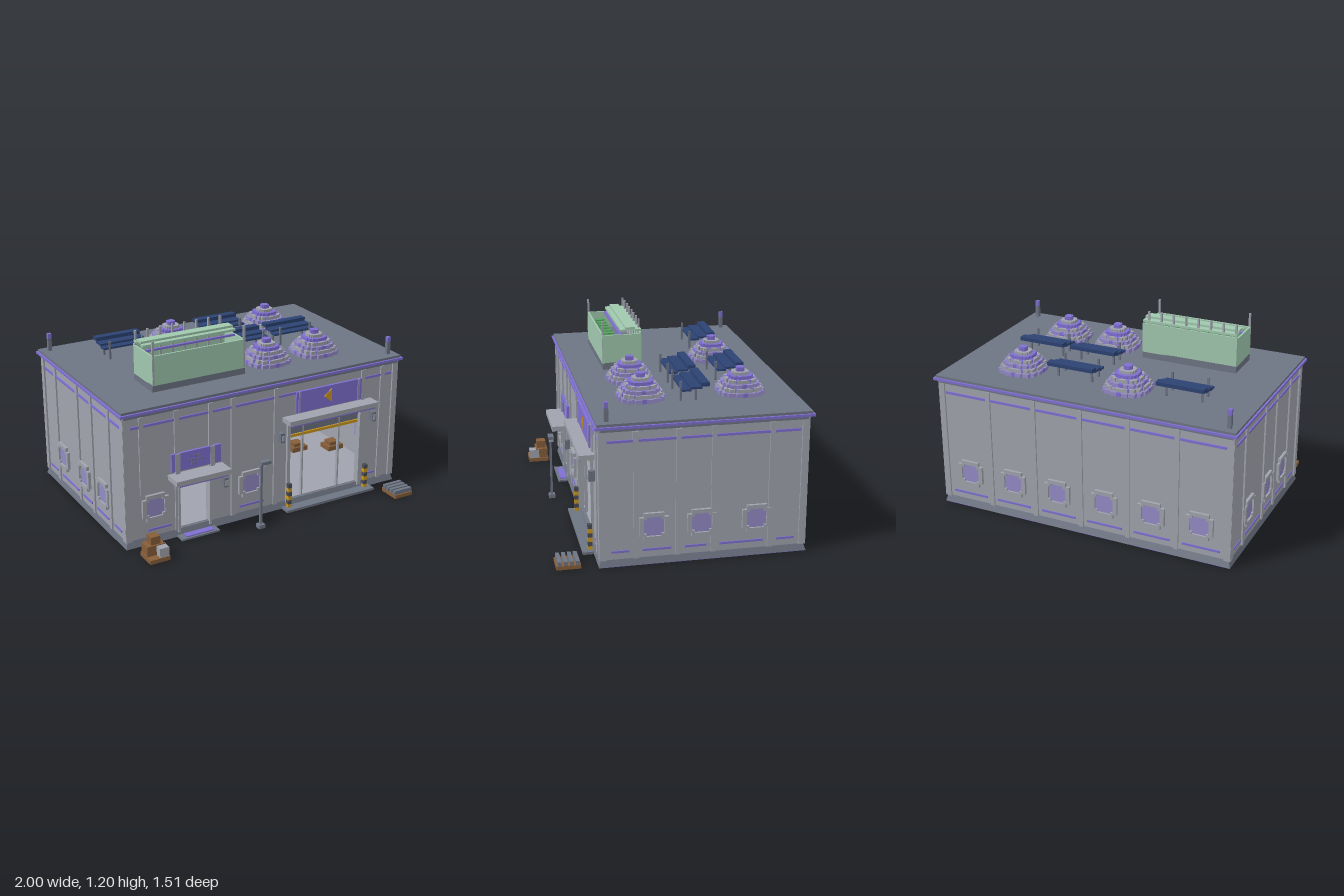
import * as THREE from 'three';

const mat = (name, color) => Object.assign(new THREE.MeshStandardMaterial({ color }), { name });
const M = {
  wall: mat('wall grey', 0xa0a3ad), dark: mat('slate grey', 0x6d7483), purple: mat('purple', 0x7f6fd2),
  lilac: mat('window lilac', 0x938bc6), mint: mat('mint glass', 0xa0c8ae), navy: mat('solar navy', 0x2c4272),
  gold: mat('gold', 0xcb9820), brown: mat('crate brown', 0x865e38), leaf: mat('leaf green', 0x55a35e),
  black: mat('dark band', 0x4a4d56),
};

export function createModel() {
  const root = new THREE.Group();
  const group = (name, parent = root) => {
    const g = new THREE.Group();
    g.name = name;
    parent.add(g);
    return g;
  };
  const add = (p, name, geo, m) => {
    const mesh = new THREE.Mesh(geo, m);
    mesh.name = name;
    p.add(mesh);
    return mesh;
  };
  // box given by its min and max on each axis
  const box = (p, name, m, x0, x1, y0, y1, z0, z1) => {
    const b = add(p, name, new THREE.BoxGeometry(x1 - x0, y1 - y0, z1 - z0), m);
    b.position.set((x0 + x1) / 2, (y0 + y1) / 2, (z0 + z1) / 2);
    return b;
  };
  const path = (pts, T) => new T(pts.map(([x, y]) => new THREE.Vector2(x, y)));
  const rectPath = (x0, x1, y0, y1, T = THREE.Path) => path([[x0, y0], [x1, y0], [x1, y1], [x0, y1]], T);
  // closed outline mirrored from the corner points of one quadrant
  const mirrored = (q, T = THREE.Shape) => {
    const r = [...q].reverse();
    return path([...q, ...r.map(([x, y]) => [-x, y]), ...q.map(([x, y]) => [-x, -y]), ...r.map(([x, y]) => [x, -y])], T);
  };
  const stepped = (w, h, s, T) => mirrored([[w, h - s], [w - s, h - s], [w - s, h]], T);
  const slab = (shape, depth) => new THREE.ExtrudeGeometry(shape, { depth, bevelEnabled: false });
  const frameShape = stepped(0.087, 0.085, 0.026);
  frameShape.holes.push(stepped(0.06, 0.06, 0.016, THREE.Path));
  const frameGeo = slab(frameShape, 0.018);
  const paneGeo = slab(stepped(0.06, 0.06, 0.016), 0.006);

  // sloped plinth, floor and underside
  const plinthGeo = new THREE.BoxGeometry(1.96, 0.046, 1.25);
  const pp = plinthGeo.attributes.position;
  for (let i = 0; i < pp.count; i++) {
    if (pp.getY(i) > 0) pp.setXYZ(i, pp.getX(i) * 0.985, pp.getY(i), pp.getZ(i) * 0.975);
  }
  plinthGeo.computeVertexNormals();
  add(root, 'plinth', plinthGeo, M.dark).position.set(0, 0.027, -0.115);
  box(root, 'underside', M.wall, -0.955, 0.955, 0.002, 0.006, -0.715, 0.485);
  box(root, 'undersideEdge', M.purple, 0.945, 0.978, 0.001, 0.005, -0.738, 0.508);
  box(root, 'undersideEdge', M.purple, -0.978, 0.945, 0.001, 0.005, -0.738, -0.72);
  box(root, 'floor', M.wall, -0.95, 0.95, 0.047, 0.053, -0.71, 0.48);

  // one outer wall, its face at local z = 0
  function wall(name, half, x, z, turn, pillars, windows, upper, lower, holes) {
    const g = group(name);
    g.position.set(x, 0, z);
    g.rotation.y = turn;
    const s = rectPath(-half, half, 0.045, 0.86, THREE.Shape);
    holes.forEach(h => s.holes.push(rectPath(...h)));
    add(g, 'wallPanel', slab(s, 0.03), M.wall).position.z = -0.03;
    for (const [u, y0] of pillars) box(g, 'pillar', M.wall, u - 0.015, u + 0.015, y0, 0.83, 0, 0.01);
    for (const e of [-1, 1]) {
      const c = e * (half - 0.012);
      box(g, 'cornerPillar', M.wall, c - 0.02, c + 0.02, 0.045, 0.85, 0, 0.011);
    }
    box(g, 'topRail', M.dark, -half, half, 0.835, 0.85, 0, 0.013);
    for (const [a, b] of upper) box(g, 'upperStripe', M.purple, a, b, 0.765, 0.78, 0, 0.008);
    for (const [a, b] of lower) box(g, 'lowerStripe', M.purple, a, b, 0.086, 0.099, 0, 0.006);
    for (const u of windows) {
      add(g, 'windowFrame', frameGeo, M.wall).position.set(u, 0.24, 0);
      add(g, 'windowPane', paneGeo, M.lilac).position.set(u, 0.24, 0);
      add(g, 'innerPane', paneGeo, M.lilac).position.set(u, 0.24, -0.034);
    }
  }
  const bays = n => n.map(u => [u, 0.045]);
  // a dash inside each bay between neighbouring pillars
  const dashes = (half, n) => {
    const e = [-half, ...[...n].sort((a, b) => a - b), half];
    return e.slice(1).map((b, i) => [e[i] + 0.04, b - 0.04]);
  };
  wall('frontWall', 0.97, 0, 0.495, 0,
    [[-0.63, 0.045], [-0.4, 0.42], [-0.245, 0.045], [0.06, 0.045], [0.71, 0.62], [0.86, 0.045], [-0.86, 0.33]],
    [-0.78, -0.12], [[-0.93, 0.2], [0.7, 0.93]], [[-0.83, -0.67], [-0.2, -0.02], [0.76, 0.83]],
    [[-0.615, -0.415, 0.05, 0.36], [0.16, 0.7, 0.05, 0.56]]);
  const backBays = [-0.63, -0.315, 0, 0.315, 0.63], sideBays = [-0.405, -0.155, 0.055, 0.4];
  wall('backWall', 0.97, 0, -0.725, Math.PI, bays(backBays),
    [-0.78, -0.47, -0.16, 0.16, 0.47, 0.78], [[-0.93, 0.93]], dashes(0.95, backBays), []);
  wall('leftWall', 0.61, 0.968, -0.115, Math.PI / 2, bays(sideBays),
    [-0.3, -0.015, 0.315], [[-0.57, 0.57]], dashes(0.59, sideBays), []);
  const flipped = sideBays.map(u => -u);
  wall('rightWall', 0.61, -0.968, -0.115, -Math.PI / 2, bays(flipped),
    [0.3, 0.015, -0.315], [[-0.57, 0.57]], dashes(0.59, flipped), []);

  // roof slab with trim and corner masts
  const roof = group('roof');
  box(roof, 'roofTrim', M.purple, -1, 1, 0.855, 0.87, -0.76, 0.525);
  box(roof, 'roofSlab', M.dark, -0.988, 0.988, 0.85, 0.885, -0.748, 0.513);
  for (const [x, z] of [[-0.93, -0.69], [0.93, 0.45]]) {
    box(roof, 'mast', M.dark, x - 0.012, x + 0.012, 0.885, 0.965, z - 0.012, z + 0.012);
    box(roof, 'mastLight', M.purple, x - 0.012, x + 0.012, 0.965, 1, z - 0.012, z + 0.012);
  }

  // round stepped skylight domes with purple studs
  const tiers = [[0.14, 0.025, 'lilac'], [0.127, 0.022, 'wall'], [0.112, 0.022, 'lilac'], [0.094, 0.022, 'wall'],
    [0.073, 0.02, 'purple'], [0.05, 0.018, 'wall'], [0.026, 0.025, 'purple']];
  for (const [x, z] of [[-0.18, -0.43], [0.54, -0.43], [0.18, 0.18], [0.54, 0.18]]) {
    const d = group('dome');
    d.position.set(x, 0.885, z);
    let y = 0;
    tiers.forEach(([r, h, m], i) => {
      const a = r * 0.4, b = r * 0.72, c = r * 0.9;
      const t = add(d, 'domeTier', slab(mirrored([[r, a], [c, a], [c, b], [b, b], [b, c], [a, c], [a, r]]), h), M[m]);
      t.rotation.x = -Math.PI / 2;
      t.position.y = y;
      for (let k = 0; i < 4 && k < 8; k++) {
        const angle = (k + (i % 2) / 2) * Math.PI / 4;
        const stud = add(d, 'domeStud', new THREE.BoxGeometry(0.026, h, 0.026), M.purple);
        stud.position.set(Math.cos(angle) * (r - 0.012), y + h / 2 + 0.001, Math.sin(angle) * (r - 0.012));
      }
      y += h;
    });
  }

  // solar panels in three rising slats
  for (const [x, z] of [[-0.7, -0.345], [0.023, -0.345], [0.023, -0.042], [0.383, -0.042]]) {
    const s = group('solarPanel');
    s.position.set(x, 0, z);
    box(s, 'lowSlat', M.navy, 0, 0.308, 0.95, 0.962, -0.055, 0);
    box(s, 'midSlat', M.navy, 0, 0.308, 0.962, 0.975, -0.12, -0.05);
    box(s, 'highSlat', M.navy, 0, 0.308, 0.975, 0.998, -0.165, -0.115);
    for (const u of [0.04, 0.27]) {
      box(s, 'frontPost', M.dark, u - 0.006, u + 0.006, 0.885, 1.005, -0.004, 0.008);
      box(s, 'backPost', M.dark, u - 0.006, u + 0.006, 0.885, 0.965, -0.095, -0.083);
    }
  }

  // rooftop greenhouse
  const gh = group('greenhouse');
  box(gh, 'base', M.dark, -0.685, -0.05, 0.885, 0.93, 0.06, 0.31);
  box(gh, 'frontGlass', M.mint, -0.685, -0.05, 0.925, 1.11, 0.3, 0.311);
  box(gh, 'backGlass', M.mint, -0.685, -0.05, 0.925, 1.12, 0.06, 0.071);
  for (const x of [-0.685, -0.061]) box(gh, 'endGlass', M.mint, x, x + 0.011, 0.925, 1.11, 0.06, 0.31);
  box(gh, 'planterBed', M.dark, -0.674, -0.061, 0.93, 1.0, 0.07, 0.3);
  box(gh, 'growLight', M.purple, -0.674, -0.061, 1.1, 1.112, 0.185, 0.2);
  [[0.06, 0.1, 1.128], [0.1, 0.16, 1.142], [0.16, 0.192, 1.128]].forEach(([a, b, y]) =>
    box(gh, 'roofGlass', M.mint, -0.683, -0.052, y, y + 0.014, a, b));
  for (let i = 0; i < 8; i++) {
    const x = -0.675 + i * 0.0833, u = -0.645 + i * 0.0705;
    box(gh, 'backPost', M.wall, x - 0.006, x + 0.006, 0.93, 1.2, 0.064, 0.076);
    box(gh, 'plant', M.leaf, u, u + 0.042, 1.0, 1.07, 0.205, 0.265);
  }
  for (const x of [-0.677, -0.058]) box(gh, 'cornerPost', M.wall, x - 0.006, x + 0.006, 0.93, 1.2, 0.3, 0.312);

  // small entrance
  const e1 = group('smallEntrance');
  box(e1, 'canopy', M.wall, -0.69, -0.32, 0.393, 0.425, 0.49, 0.615);
  box(e1, 'canopyEdge', M.purple, -0.67, -0.34, 0.383, 0.393, 0.59, 0.61);
  box(e1, 'sign', M.purple, -0.67, -0.335, 0.44, 0.555, 0.49, 0.512);
  for (const x of [-0.63, -0.395]) box(e1, 'signBracket', M.wall, x - 0.015, x + 0.015, 0.425, 0.555, 0.49, 0.517);
  for (const [i, j] of [[0, 0], [1, 0], [-1, 0], [2, 0], [-2, 0], [0, 1], [0, -1], [1, 1], [-1, -1]]) {
    box(e1, 'signDot', M.dark, -0.516 + i * 0.022, -0.504 + i * 0.022, 0.489 + j * 0.024, 0.501 + j * 0.024, 0.51, 0.516);
  }
  for (const x of [-0.63, -0.415]) box(e1, 'doorPost', M.wall, x, x + 0.015, 0.03, 0.375, 0.47, 0.512);
  box(e1, 'lintel', M.dark, -0.63, -0.4, 0.355, 0.375, 0.47, 0.51);
  box(e1, 'step', M.dark, -0.64, -0.38, 0.003, 0.014, 0.49, 0.575);
  box(e1, 'mat', M.purple, -0.6, -0.41, 0, 0.02, 0.515, 0.56);

  // wide entrance
  const e2 = group('wideEntrance');
  box(e2, 'canopy', M.wall, 0.11, 0.775, 0.597, 0.628, 0.49, 0.588);
  box(e2, 'canopyEdge', M.purple, 0.13, 0.755, 0.587, 0.597, 0.563, 0.584);
  box(e2, 'sign', M.purple, 0.2, 0.69, 0.64, 0.78, 0.49, 0.512);
  for (const x of [0.215, 0.66]) box(e2, 'signBracket', M.lilac, x, x + 0.015, 0.64, 0.78, 0.49, 0.517);
  const arrow = add(e2, 'signArrow', slab(path([[-0.035, 0], [0.02, 0.045], [0.02, -0.045]], THREE.Shape), 0.006), M.gold);
  arrow.position.set(0.44, 0.715, 0.511);
  for (const x of [0.14, 0.69]) box(e2, 'doorPost', M.wall, x, x + 0.022, 0.03, 0.58, 0.47, 0.512);
  for (const x of [0.265, 0.54]) box(e2, 'divider', M.wall, x, x + 0.01, 0.05, 0.56, 0.468, 0.487);
  box(e2, 'transom', M.dark, 0.16, 0.7, 0.495, 0.56, 0.465, 0.485);
  box(e2, 'goldRail', M.gold, 0.16, 0.69, 0.472, 0.49, 0.465, 0.486);
  box(e2, 'step', M.dark, 0.11, 0.78, 0, 0.016, 0.49, 0.575);
  for (const x of [0.15, 0.735]) {
    for (let i = 0; i < 6; i++) {
      box(e2, 'bollardBand', i % 2 ? M.black : M.gold, x - 0.013, x + 0.013, 0.01 + i * 0.028, 0.038 + i * 0.028, 0.512, 0.538);
    }
  }

  // wall lamps
  for (const [x, y] of [[0.09, 0.505], [0.785, 0.505], [-0.31, 0.3]]) {
    box(root, 'wallLamp', M.dark, x - 0.014, x + 0.014, y - 0.032, y + 0.032, 0.49, 0.535);
    box(root, 'wallLampGlow', M.wall, x - 0.008, x + 0.008, y - 0.02, y + 0.015, 0.535, 0.54);
  }

  // street lamp
  const lamp = group('streetLamp');
  box(lamp, 'lampBase', M.dark, -0.157, -0.113, 0, 0.025, 0.63, 0.67);
  box(lamp, 'lampPole', M.dark, -0.142, -0.128, 0.02, 0.44, 0.643, 0.657);
  box(lamp, 'lampArm', M.dark, -0.142, -0.075, 0.425, 0.445, 0.633, 0.667);
  box(lamp, 'lampGlow', M.wall, -0.112, -0.08, 0.408, 0.425, 0.637, 0.663);

  // crates and pallets outside
  const crates = group('crateStack');
  box(crates, 'pallet', M.brown, -0.93, -0.8, 0, 0.026, 0.595, 0.73);
  box(crates, 'backCrate', M.brown, -0.925, -0.81, 0.026, 0.09, 0.6, 0.68);
  box(crates, 'topCrate', M.brown, -0.895, -0.835, 0.09, 0.14, 0.61, 0.67);
  box(crates, 'greyCrate', M.wall, -0.865, -0.805, 0.026, 0.085, 0.66, 0.725);
  const pallet = group('slattedPallet');
  box(pallet, 'palletBase', M.brown, 0.82, 0.955, 0, 0.024, 0.61, 0.755);
  for (let i = 0; i < 4; i++) {
    box(pallet, 'palletSlat', M.dark, 0.82, 0.955, 0.022, 0.05, 0.618 + i * 0.035, 0.641 + i * 0.035);
  }

  // interior: crates, stands, counter and stocked shelves
  const room = group('interior');
  for (const [x, z] of [[0.86, -0.03], [0.63, -0.13], [-0.8, -0.36]]) {
    box(room, 'crate', M.brown, x - 0.06, x + 0.06, 0, 0.085, z - 0.05, z + 0.05);
    box(room, 'crateTop', M.brown, x - 0.04, x + 0.03, 0.085, 0.11, z - 0.035, z + 0.035);
  }
  for (const [x, z] of [[0.1, -0.44], [-0.54, -0.42]]) {
    add(room, 'roundStand', new THREE.CylinderGeometry(0.045, 0.045, 0.07, 8), M.navy).position.set(x, 0.035, z);
  }
  box(room, 'counter', M.wall, 0.17, 0.42, 0.15, 0.215, -0.62, -0.5);
  for (const x of [0.18, 0.39]) box(room, 'counterLeg', M.dark, x, x + 0.015, 0.05, 0.15, -0.6, -0.52);
  for (const [x, y] of [[0.175, 0.215], [0.405, 0.165]]) box(room, 'tool', M.gold, x, x + 0.024, y, y + 0.065, -0.52, -0.49);
  for (const y of [0.08, 0.15, 0.23]) box(room, 'shelf', M.dark, -0.66, -0.38, y, y + 0.012, -0.7, -0.6);
  for (const x of [-0.66, -0.39]) box(room, 'shelfPost', M.dark, x, x + 0.01, 0.05, 0.32, -0.7, -0.6);
  for (const [m, x, y, w, h] of [['gold', -0.605, 0.242, 0.04, 0.05], ['navy', -0.565, 0.242, 0.02, 0.045],
    ['mint', -0.505, 0.242, 0.045, 0.05], ['brown', -0.61, 0.162, 0.04, 0.05], ['gold', -0.565, 0.162, 0.025, 0.045],
    ['leaf', -0.5, 0.162, 0.05, 0.06], ['gold', -0.445, 0.162, 0.03, 0.05], ['brown', -0.6, 0.092, 0.035, 0.04],
    ['mint', -0.5, 0.092, 0.04, 0.04]]) {
    box(room, 'stockBox', M[m], x, x + w, y, y + h, -0.68, -0.62);
  }
  return root;
}
